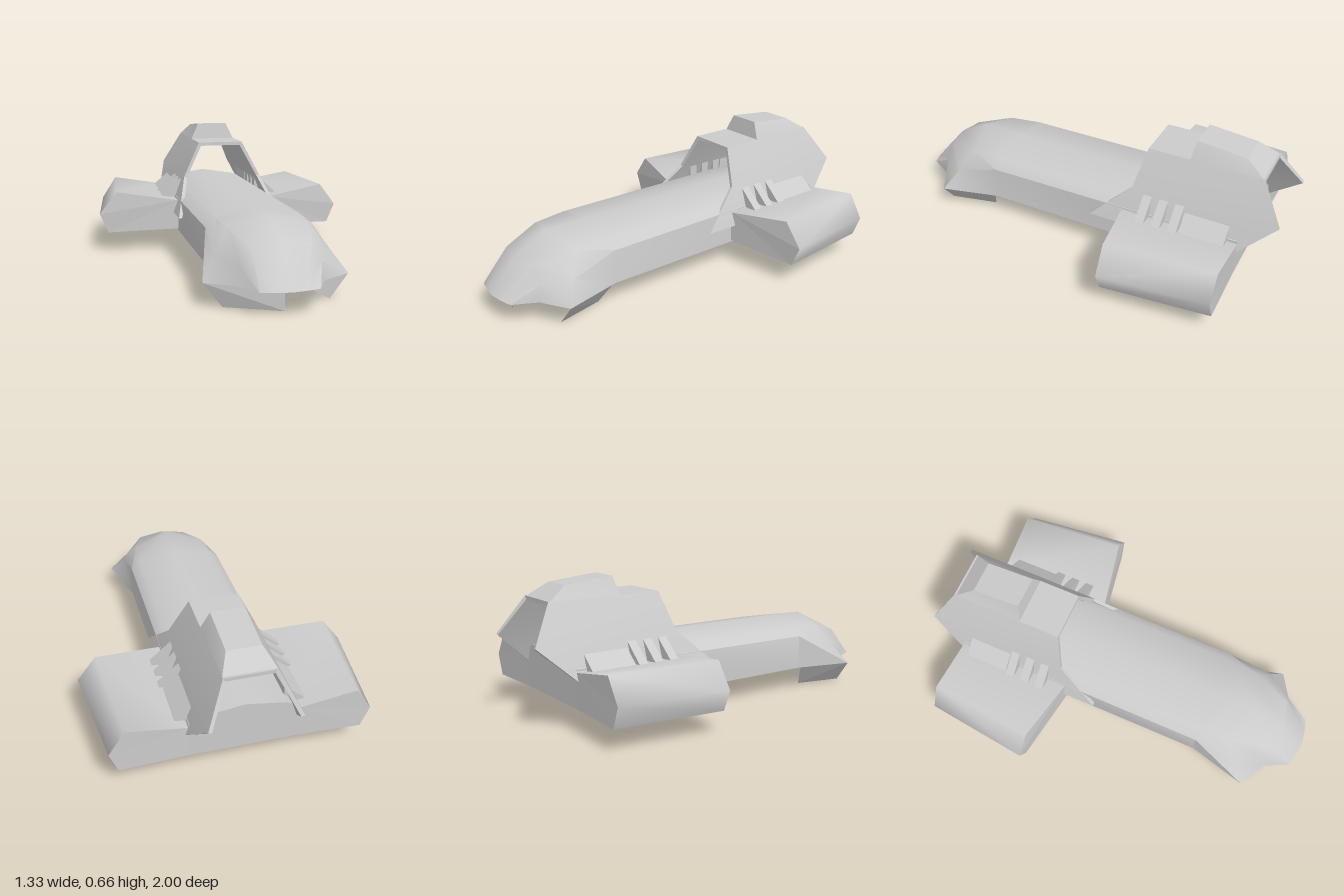
import * as THREE from 'three';
import { toCreasedNormals } from 'three/addons/utils/BufferGeometryUtils.js';

const material = new THREE.MeshStandardMaterial({ color: 0xcccccc, side: THREE.DoubleSide });

// Skin a grid of points: rows of equal length, each point [x, y, z]
function loft(name, rows, crease = 0.6) {
  const n = rows[0].length, index = [];
  for (let r = 0; r < rows.length - 1; r++) {
    for (let i = 0; i < n - 1; i++) {
      const a = r * n + i, b = a + 1, c = a + n, d = c + 1;
      index.push(a, c, b, b, c, d);
    }
  }
  const geo = new THREE.BufferGeometry();
  geo.setAttribute('position', new THREE.Float32BufferAttribute(rows.flat(2), 3));
  geo.setIndex(index);
  const mesh = new THREE.Mesh(toCreasedNormals(geo, crease), material);
  mesh.name = name;
  return mesh;
}

// Flat convex panel from its corners
function panel(name, pts) {
  const geo = new THREE.BufferGeometry();
  const pos = [];
  for (let i = 1; i < pts.length - 1; i++) pos.push(...pts[0], ...pts[i], ...pts[i + 1]);
  geo.setAttribute('position', new THREE.Float32BufferAttribute(pos, 3));
  geo.computeVertexNormals();
  const mesh = new THREE.Mesh(geo, material);
  mesh.name = name;
  return mesh;
}

const flip = ([x, y, z]) => [-x, y, z];
// Half section (centre or inner edge first) to a full section, right to left
const full = (half) => [...half.map(flip).reverse(), ...half.filter(p => p[0] === 0 ? false : true)];

// Triangular prism lying along z
function wedge(name, side, x0, x1, y0, y1, z0, z1) {
  const shape = new THREE.Shape([
    new THREE.Vector2(side * x0, y0), new THREE.Vector2(side * x1, y0), new THREE.Vector2(side * x0, y1),
  ]);
  const geo = new THREE.ExtrudeGeometry(shape, { depth: z1 - z0, bevelEnabled: false });
  geo.translate(0, 0, z0);
  const mesh = new THREE.Mesh(geo, material);
  mesh.name = name;
  return mesh;
}

export function createModel() {
  const model = new THREE.Group();

  // Hull: open-bottomed shell from the tail to the flared nose
  const hull = [
    [[0, .355, -.83], [.2, .322, -.83], [.25, .29, -.83], [.25, .11, -.83]],
    [[0, .355, .48], [.2, .322, .48], [.25, .28, .48], [.25, .11, .48]],
    [[0, .355, .70], [.19, .31, .65], [.26, .21, .71], [.325, .11, .775]],
    [[0, .27, .86], [.13, .26, .84], [.18, .19, .84], [.19, .11, .855]],
    [[0, .11, .995], [.07, .11, .985], [.13, .11, .97], [.19, .11, .855]],
  ].map(full);
  model.add(loft('hull', hull, 0.75));
  model.add(panel('hullRearWall', hull[0]));

  // Arch: thick trapezoid hood over the tail, open at both ends
  const outer = [[.12, .575], [.21, .395], [.275, .21]];
  const inner = [[.108, .557], [.194, .39], [.257, .21]];
  const frontZ = [-.32, -.28, -.08], backZ = [-.89, -1, -.8];
  const section = (path, zs) => full(path.map(([x, y], i) => [x, y, zs[i]]));
  model.add(loft('arch', [
    section(outer, frontZ), section(outer, backZ),
    section(inner, backZ), section(inner, frontZ), section(outer, frontZ),
  ], 0.4));

  // Raised fairing on the arch roof
  model.add(loft('roofFairing', [
    [[.12, .575, -.53], [.12, .575, -.88]],
    [[.08, .66, -.545], [.08, .635, -.79]],
    [[-.08, .66, -.545], [-.08, .635, -.79]],
    [[-.12, .575, -.53], [-.12, .575, -.88]],
  ], 0.4));
  for (const [name, y, z0, z1] of [['fairingFront', .66, -.53, -.545], ['fairingBack', .635, -.88, -.79]]) {
    model.add(panel(name, [[-.12, .575, z0], [.12, .575, z0], [.08, y, z1], [-.08, y, z1]]));
  }

  for (const side of [1, -1]) {
    const s = ([x, y, z]) => [side * x, y, z];

    // Side pod: hexagonal shell, open below
    const pod = new THREE.Group();
    pod.name = side > 0 ? 'leftPod' : 'rightPod';
    const front = [[.25, .275, -.245], [.575, .322, -.305], [.665, .205, -.312], [.62, .103, -.31]].map(s);
    const back = [[.25, .275, -.83], [.53, .322, -.835], [.605, .205, -.835], [.565, .103, -.835]].map(s);
    pod.add(loft('podShell', [front, back], 1.2));
    pod.add(panel('podFront', [...front, s([.25, .12, -.245])]));
    pod.add(panel('podBack', [...back, s([.25, .11, -.83])]));
    model.add(pod);

    // Cooling fins and the duct behind them
    for (const z of [-.365, -.447, -.53]) {
      model.add(wedge('coolingFin', side, .2, .325, .28, .39, z - .022, z + .022));
    }
    model.add(wedge('duct', side, .2, .312, .275, .37, -.78, -.56));

    // Chin side plate under the nose flare
    model.add(panel('chinSidePlate', [
      [.325, .11, .775], [.24, .003, .78], [.185, .003, .54], [.25, .11, .495],
    ].map(s)));
  }

  // Chin front plate, on one side only
  model.add(panel('chinFrontPlate', [
    [-.325, .11, .775], [-.24, 0, .78], [0, 0, .895], [0, .11, .895],
  ]));

  return model;
}
